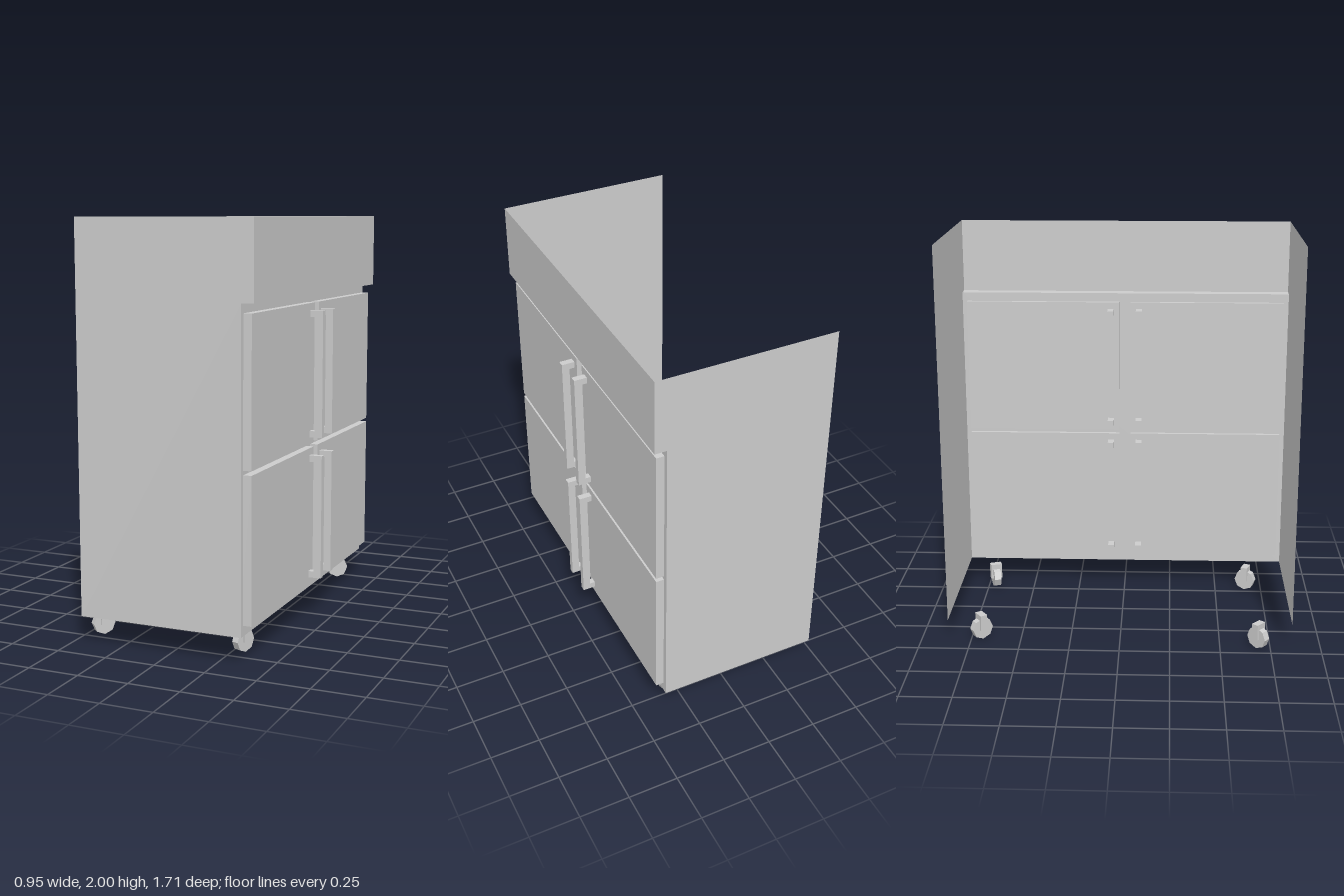
import * as THREE from 'three';

const BACK = -0.455, FACE = 0.365, FASCIA = 0.425;
const BOTTOM = 0.13, LEDGE = 1.63, TOP = 2, HALF = 0.855;

const metal = new THREE.MeshStandardMaterial({ color: 0xcccccc, flatShading: true });
const sheet = new THREE.MeshStandardMaterial({ color: 0xcccccc, flatShading: true, side: THREE.DoubleSide });

function add(parent, name, geometry, material = metal) {
  const mesh = new THREE.Mesh(geometry, material);
  mesh.name = name;
  parent.add(mesh);
  return mesh;
}

// Box given by its limits on each axis
function box(parent, name, [x0, x1], [y0, y1], [z0, z1]) {
  const mesh = add(parent, name, new THREE.BoxGeometry(x1 - x0, y1 - y0, z1 - z0));
  mesh.position.set((x0 + x1) / 2, (y0 + y1) / 2, (z0 + z1) / 2);
  return mesh;
}

// Open sheet cabinet: two stepped sides, door face, ledge and fascia
function createCabinet() {
  const cabinet = new THREE.Group();
  cabinet.name = 'cabinet';
  const outline = new THREE.Shape([
    [BACK, BOTTOM], [FACE, BOTTOM], [FACE, LEDGE], [FASCIA, LEDGE], [FASCIA, TOP], [BACK, TOP],
  ].map(([x, y]) => new THREE.Vector2(x, y)));
  for (const s of [1, -1]) {
    add(cabinet, s > 0 ? 'leftSidePanel' : 'rightSidePanel', new THREE.ShapeGeometry(outline), sheet).position.z = s * HALF;
  }
  const upright = (name, x, y0, y1) => {
    const mesh = add(cabinet, name, new THREE.PlaneGeometry(2 * HALF, y1 - y0), sheet);
    mesh.rotation.y = Math.PI / 2;
    mesh.position.set(x, (y0 + y1) / 2, 0);
  };
  upright('doorFace', FACE, BOTTOM, LEDGE);
  upright('fascia', FASCIA, LEDGE, TOP);
  const ledge = add(cabinet, 'ledge', new THREE.PlaneGeometry(FASCIA - FACE, 2 * HALF), sheet);
  ledge.rotation.x = Math.PI / 2;
  ledge.position.set((FACE + FASCIA) / 2, LEDGE, 0);
  return cabinet;
}

// Door slab with a bar handle on two standoffs that pass through it
function createDoor(side, y0, y1) {
  const door = new THREE.Group();
  door.name = 'door';
  const span = (a, b) => [Math.min(side * a, side * b), Math.max(side * a, side * b)];
  box(door, 'doorPanel', [0.345, 0.405], [y0, y1], span(0.03, 0.83));
  const low = y0 + 0.035, high = y1 - 0.035, z = span(0.058, 0.09);
  box(door, 'handleBar', [0.432, 0.47], [low, high], z);
  box(door, 'lowerStandoff', [0.285, 0.432], [low, low + 0.032], z);
  box(door, 'upperStandoff', [0.285, 0.432], [high - 0.032, high], z);
  return door;
}

// Swivelling caster: eight-sided wheel and a fork block
function createCaster(x, z, yaw) {
  const caster = new THREE.Group();
  caster.name = 'caster';
  const wheel = new THREE.CylinderGeometry(0.055, 0.055, 0.036, 8);
  wheel.rotateX(Math.PI / 2);
  add(caster, 'wheel', wheel).position.y = 0.055;
  box(caster, 'fork', [-0.018, 0.018], [0.05, BOTTOM], [-0.03, 0.03]);
  caster.position.set(x, 0, z);
  caster.rotation.y = yaw;
  return caster;
}

export function createModel() {
  const model = new THREE.Group();
  model.name = 'doubleDoorCabinet';
  model.add(createCabinet());
  for (const side of [1, -1]) {
    model.add(createDoor(side, 0.18, 0.87), createDoor(side, 0.89, 1.585));
  }
  // x, z and heading of each caster
  for (const [x, z, yaw] of [
    [-0.37, -0.70, -0.95], [0.285, -0.71, 0.33], [-0.43, 0.69, 0.85], [0.295, 0.665, 1.2],
  ]) model.add(createCaster(x, z, yaw));
  return model;
}
